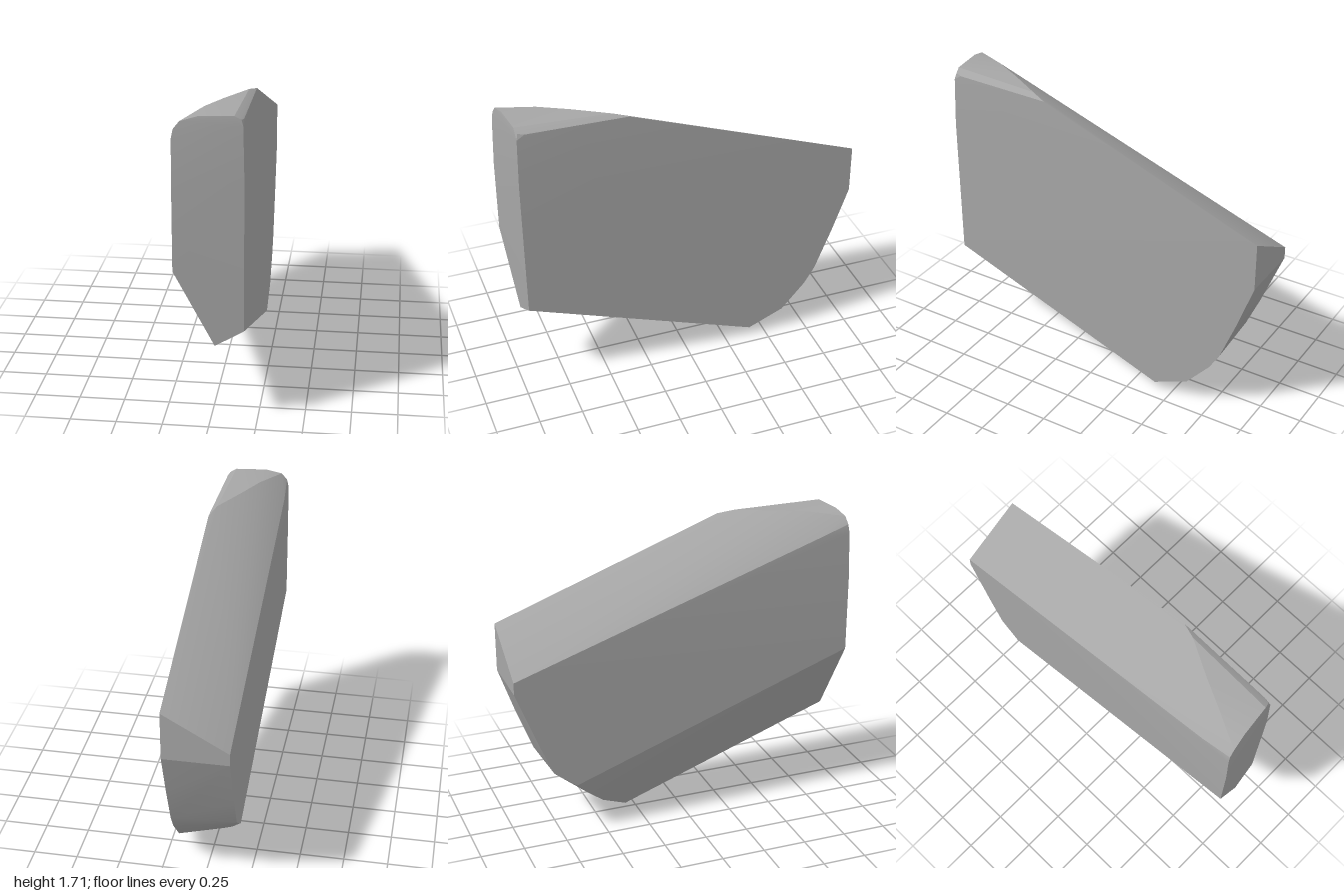
import * as THREE from 'three';
import { ConvexGeometry } from 'three/addons/geometries/ConvexGeometry.js';
import { toCreasedNormals } from 'three/addons/utils/BufferGeometryUtils.js';

const L = 0.182; // half the thickness of the slab

// Outline of the +x side as [z, y]
const leftSide = [
  [0.945, 0.545], [0.95, 1.38], [-1, 1.2], [0.33, 1.685],
  [-1, 0.92], [-0.91, 0.66], [-0.81, 0.4], [-0.75, 0.3], [-0.61, 0.14], [-0.4, 0.05],
];

// Outline of the -x side as [z, y]
const rightSide = [
  [1, 0.89], [1, 1.32], [0.99, 1.6], [0.81, 1.595], [-1, 0.99],
  [-1, 0.92], [-0.87, 0.585], [-0.79, 0.4], [-0.66, 0.3],
];

// Bottom keel: front tip, then the curve that climbs the rear end
const keel = [
  [0.03, 0.46, 0.96], [0.04, 0, -0.3], [-0.05, 0.1, -0.465], [-0.12, 0.2, -0.57],
];

// Worn crown above the front face
const crown = [
  [-0.172, 1.65, 0.985], [-0.14, 1.69, 0.98], [-0.05, 1.714, 0.965], [0.13, 1.714, 0.945],
  [0.165, 1.695, 0.935], [0.175, 1.66, 0.943], [0.174, 1.688, 0.9],
  [-0.04, 1.712, 0.78], [0.04, 1.71, 0.62], [0.15, 1.705, 0.42],
];

export function createModel() {
  const stone = new THREE.MeshStandardMaterial({ color: 0xa6a6a6 });
  stone.name = 'grey stone';

  const points = [
    ...leftSide.map(([z, y]) => new THREE.Vector3(L, y, z)),
    ...rightSide.map(([z, y]) => new THREE.Vector3(-L, y, z)),
    ...[...keel, ...crown].map((p) => new THREE.Vector3(...p)),
  ];

  // One faceted block, softened only across shallow edges
  const slab = new THREE.Mesh(toCreasedNormals(new ConvexGeometry(points), 0.3), stone);
  slab.name = 'stoneSlab';

  const group = new THREE.Group();
  group.name = 'rock';
  group.add(slab);
  return group;
}
